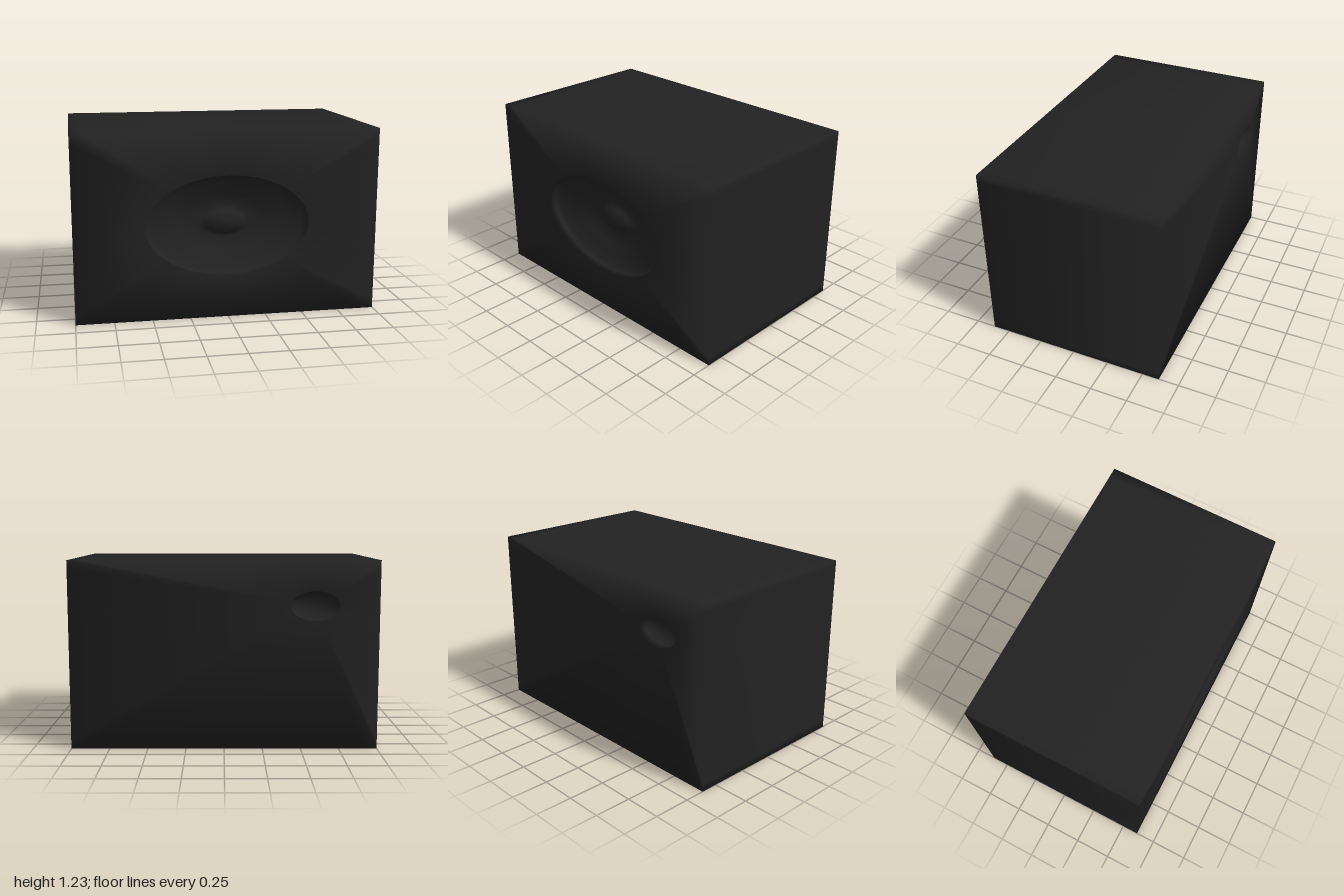
import * as THREE from 'three';

const W = 1, H = 0.615, D = 0.615; // half sizes of the cabinet
const PER_SIDE = 24, N = PER_SIDE * 4;

// Point i on the border of the square from -1 to 1, counter-clockwise
function squarePoint(i) {
  const t = (i % PER_SIDE) / PER_SIDE * 2 - 1;
  return [[1, t], [-t, 1], [-1, -t], [t, -1]][Math.floor(i / PER_SIDE) % 4];
}

// Ring of the cabinet outline at depth z
const border = z => ({ z, at: squarePoint });

// Round ring (stretched with the cabinet), each point aimed at its border point
const round = (cx, cy, r, z) => ({
  z,
  at: i => {
    const [x, y] = squarePoint(i);
    const l = Math.hypot(x - cx, y - cy);
    return [cx + (x - cx) / l * r, cy + (y - cy) / l * r];
  },
});

export function createModel() {
  const group = new THREE.Group();
  group.name = 'speakerBox';

  // Driver: dust cap, cone and short wall as [radius, depth]
  const driver = [[0, 0.11], [0.07, 0.115], [0.13, 0.135], [0.18, 0.17],
    [0.3, 0.135], [0.42, 0.1], [0.51, 0.07], [0.54, 0.045], [0.54, 0]];
  // Port cup in the back, from rim to floor
  const port = [[0.16, 0], [0.155, 0.05], [0.13, 0.09], [0.07, 0.11], [0, 0.115]];

  const rings = [
    ...driver.map(([r, d]) => round(0, 0, r, D - d)),
    border(D), border(-D),
    ...port.map(([r, d]) => round(-0.59, 0.52, r, -D + d)),
  ];

  // One continuous smooth skin through all the rings
  const pos = [], index = [];
  for (const ring of rings) {
    for (let i = 0; i < N; i++) {
      const [x, y] = ring.at(i);
      pos.push(x * W, y * H + H, ring.z);
    }
  }
  for (let r = 0; r < rings.length - 1; r++) {
    for (let i = 0; i < N; i++) {
      const j = (i + 1) % N;
      const a = r * N + i, b = a + N, a2 = r * N + j, b2 = a2 + N;
      index.push(a, b, b2, a, b2, a2);
    }
  }
  const skin = new THREE.BufferGeometry();
  skin.setAttribute('position', new THREE.Float32BufferAttribute(pos, 3));
  skin.setIndex(index);
  skin.computeVertexNormals();

  // Split the skin into parts that share its smooth normals
  const material = new THREE.MeshStandardMaterial({ color: 0x222222 });
  const addPart = (name, from, to) => {
    const part = new THREE.BufferGeometry();
    part.setAttribute('position', skin.attributes.position);
    part.setAttribute('normal', skin.attributes.normal);
    part.setIndex(index.slice(from * N * 6, to * N * 6));
    const mesh = new THREE.Mesh(part, material);
    mesh.name = name;
    group.add(mesh);
  };
  const rim = driver.length - 1;
  addPart('dustCap', 0, 3);
  addPart('cone', 3, rim);
  addPart('cabinet', rim, rim + 3);
  addPart('backPort', rim + 3, rings.length - 1);
  return group;
}
